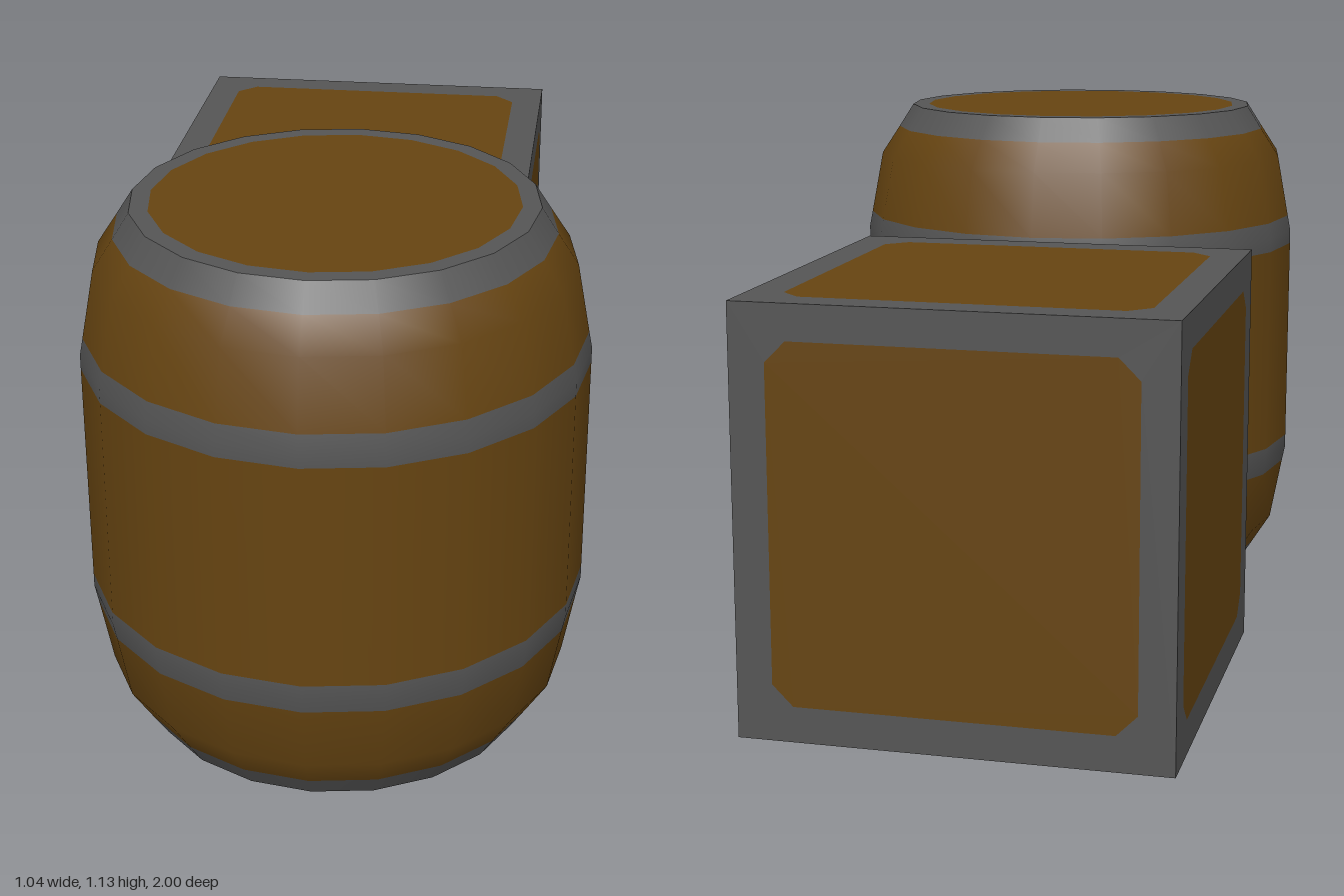
import * as THREE from 'three';

const SIDES = 20;

export function createModel() {
  const wood = new THREE.MeshStandardMaterial({ color: 0x664411 });
  wood.name = 'brown wood';
  const iron = new THREE.MeshStandardMaterial({ color: 0x555555 });
  iron.name = 'grey iron';

  const model = new THREE.Group();
  model.name = 'barrelAndCrate';
  const barrel = createBarrel(wood, iron);
  barrel.position.set(0, 0, 0.48);
  const crate = createCrate(wood, iron, 0.86);
  crate.position.set(-0.085, 0.452, -0.57);
  model.add(barrel, crate);
  return model;
}

function addMesh(parent, name, geometry, material) {
  const mesh = new THREE.Mesh(geometry, material);
  mesh.name = name;
  parent.add(mesh);
  return mesh;
}

function createBarrel(wood, iron) {
  const barrel = new THREE.Group();
  barrel.name = 'barrel';

  // Wall: radius, height, and the material of the strip above (0 wood, 1 iron)
  const profile = [
    [0.41, 0, 1], [0.442, 0.05, 0], [0.486, 0.12, 0], [0.513, 0.265, 1],
    [0.52, 0.3, 1], [0.52, 0.33, 0], [0.52, 0.807, 1], [0.52, 0.838, 1],
    [0.513, 0.874, 0], [0.486, 1.018, 0], [0.444, 1.082, 1], [0.41, 1.135, 1],
  ];
  const n = profile.length;
  const wall = new THREE.LatheGeometry(profile.map(([r, y]) => new THREE.Vector2(r, y)), SIDES);

  // Order the faces strip by strip so each strip is one material group
  const index = [];
  wall.clearGroups();
  for (let j = 0; j < n - 1; j++) {
    wall.addGroup(index.length, SIDES * 6, profile[j][2]);
    for (let i = 0; i < SIDES; i++) {
      const a = i * n + j, b = a + n;
      index.push(a, b, a + 1, b + 1, a + 1, b);
    }
  }
  wall.setIndex(index);
  addMesh(barrel, 'stavesAndHoops', wall, [wood, iron]);

  // Flat ends: a wooden lid inside an iron rim
  for (const [name, y, turn] of [['top', 1.135, -Math.PI / 2], ['bottom', 0, Math.PI / 2]]) {
    const end = new THREE.Group();
    end.name = name + 'End';
    end.position.y = y;
    end.rotation.x = turn;
    addMesh(end, name + 'Lid', new THREE.CircleGeometry(0.372, SIDES), wood);
    addMesh(end, name + 'Rim', new THREE.RingGeometry(0.372, 0.41, SIDES), iron);
    barrel.add(end);
  }
  return barrel;
}

function createCrate(wood, iron, size) {
  const crate = new THREE.Group();
  crate.name = 'crate';

  // Panel outline: a square with clipped corners
  const p = 0.358, c = p - 0.042, h = size / 2;
  const outline = [[-c, -p], [c, -p], [p, -c], [p, c], [c, p], [-c, p], [-p, c], [-p, -c]]
    .map(([x, y]) => new THREE.Vector2(x, y));
  const square = [[-h, -h], [h, -h], [h, h], [-h, h]].map(([x, y]) => new THREE.Vector2(x, y));
  const panelGeometry = new THREE.ShapeGeometry(new THREE.Shape(outline));
  const frameShape = new THREE.Shape(square);
  frameShape.holes.push(new THREE.Path(outline));
  const frameGeometry = new THREE.ShapeGeometry(frameShape);

  // Six sides, each an iron frame flush with a wooden panel
  const q = Math.PI / 2;
  const sides = [
    ['front', 0, 0], ['left', 0, q], ['back', 0, 2 * q],
    ['right', 0, -q], ['top', -q, 0], ['bottom', q, 0],
  ];
  for (const [name, rx, ry] of sides) {
    const side = new THREE.Group();
    side.name = name + 'Side';
    side.rotation.set(rx, ry, 0);
    side.position.set(0, 0, h).applyEuler(side.rotation);
    addMesh(side, name + 'Panel', panelGeometry, wood);
    addMesh(side, name + 'Frame', frameGeometry, iron);
    crate.add(side);
  }
  return crate;
}
